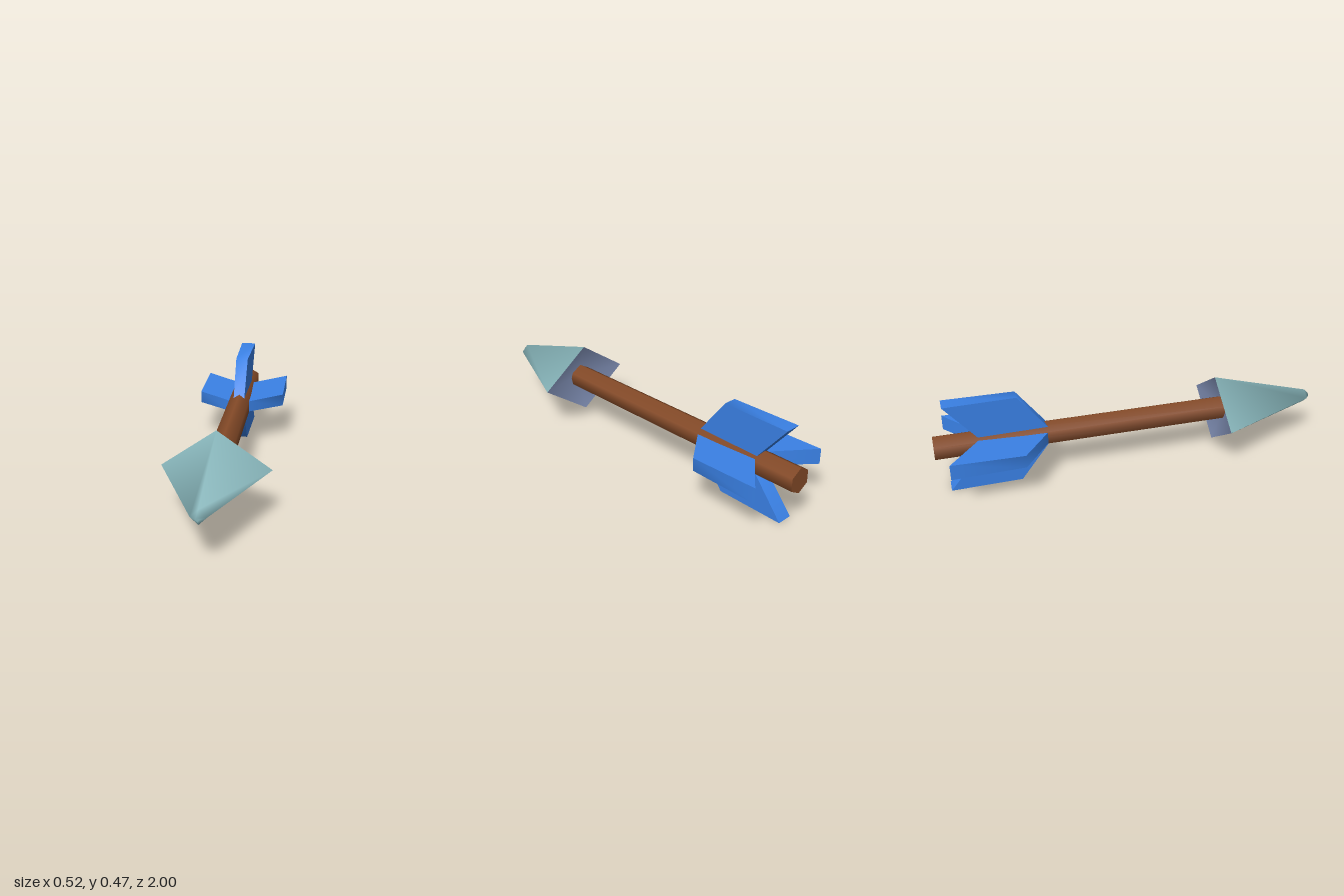
import * as THREE from 'three';
import { toCreasedNormals } from 'three/addons/utils/BufferGeometryUtils.js';

const AXIS_Y = 0.238;

// Diamond sections of the head: half width, half height, z
const RINGS = [[0.262, 0.184, 0.45], [0.036, 0.035, 0.972], [0.008, 0.008, 0.996]];

const mat = (name, color) => {
  const m = new THREE.MeshStandardMaterial({ color });
  m.name = name;
  return m;
};

const corner = ([rx, ry, z], i) => {
  const a = (i * Math.PI) / 2;
  return new THREE.Vector3(Math.cos(a) * rx, Math.sin(a) * ry, z);
};

// Four-sided head: sharp side ridges at the back, soft upper and lower ridges and tip
function headGeometry() {
  const pos = [], nor = [];
  const tri = (pts, normals) => {
    pts.forEach((p) => pos.push(...p.toArray()));
    normals.forEach((n) => nor.push(...n.toArray()));
  };
  const soft = (i, z) => corner([1, 1, z], i).normalize();
  const front = new THREE.Vector3(0, 0, 1);
  const apex = new THREE.Vector3(0, 0, RINGS[2][2]);
  for (let i = 0; i < 4; i++) {
    const j = i + 1;
    const [[a, b], [c, d], [e, f]] = RINGS.map((r) => [corner(r, i), corner(r, j)]);
    const flat = b.clone().sub(a).cross(c.clone().sub(a)).normalize();
    const na = i % 2 ? soft(i, 0.3) : flat;
    const nb = j % 2 ? soft(j, 0.3) : flat;
    const [s, t] = [soft(i, 0.6), soft(j, 0.6)];
    tri([a, b, d], [na, nb, t]);
    tri([a, d, c], [na, t, s]);
    tri([c, d, f], [s, t, front]);
    tri([c, f, e], [s, front, front]);
    tri([e, f, apex], [front, front, front]);
  }
  const g = new THREE.BufferGeometry();
  g.setAttribute('position', new THREE.Float32BufferAttribute(pos, 3));
  g.setAttribute('normal', new THREE.Float32BufferAttribute(nor, 3));
  return g;
}

// Shallow hollow closing the back of the head
function headBackGeometry() {
  const pos = [0, 0, 0.51], index = [];
  for (let i = 0; i < 4; i++) {
    pos.push(...corner(RINGS[0], i).toArray());
    index.push(0, 1 + ((i + 1) % 4), 1 + i);
  }
  const g = new THREE.BufferGeometry();
  g.setAttribute('position', new THREE.Float32BufferAttribute(pos, 3));
  g.setIndex(index);
  g.computeVertexNormals();
  return g;
}

// Swept-back fin pointing up, growing thicker towards the rear
function finGeometry() {
  const g = new THREE.BoxGeometry(2, 1, 1);
  const p = g.attributes.position;
  for (let i = 0; i < p.count; i++) {
    const outer = p.getY(i) > 0, ahead = p.getZ(i) > 0;
    const z = outer ? (ahead ? -0.582 : -0.94) : (ahead ? -0.437 : -0.785);
    const half = 0.03 + 0.01 * ((-0.437 - z) / 0.503);
    p.setXYZ(i, Math.sign(p.getX(i)) * half, outer ? 0.2375 : 0.048, z);
  }
  return toCreasedNormals(g, Math.PI / 3);
}

export function createModel() {
  const wood = mat('brown wood', 0x864b28);
  const steel = mat('pale teal', 0x85b2b7);
  const slate = mat('slate', 0x808fb5);
  const blue = mat('blue feather', 0x3a81e5);

  const arrow = new THREE.Group();
  arrow.name = 'arrow';
  const add = (name, geometry, material) => {
    const m = new THREE.Mesh(geometry, material);
    m.name = name;
    m.position.y = AXIS_Y;
    arrow.add(m);
    return m;
  };

  // Hexagonal shaft, ending just inside the head
  const shaft = new THREE.CylinderGeometry(0.065, 0.065, 1.51, 6);
  shaft.rotateX(Math.PI / 2);
  shaft.translate(0, 0, -0.245);
  add('shaft', shaft, wood);

  // Head and its hollow back
  add('head', headGeometry(), steel);
  add('headBack', headBackGeometry(), slate);

  // Four fins around the shaft
  const fin = finGeometry();
  ['topFin', 'leftFin', 'bottomFin', 'rightFin'].forEach((name, i) => {
    add(name, fin, blue).rotation.z = (-i * Math.PI) / 2;
  });
  return arrow;
}
